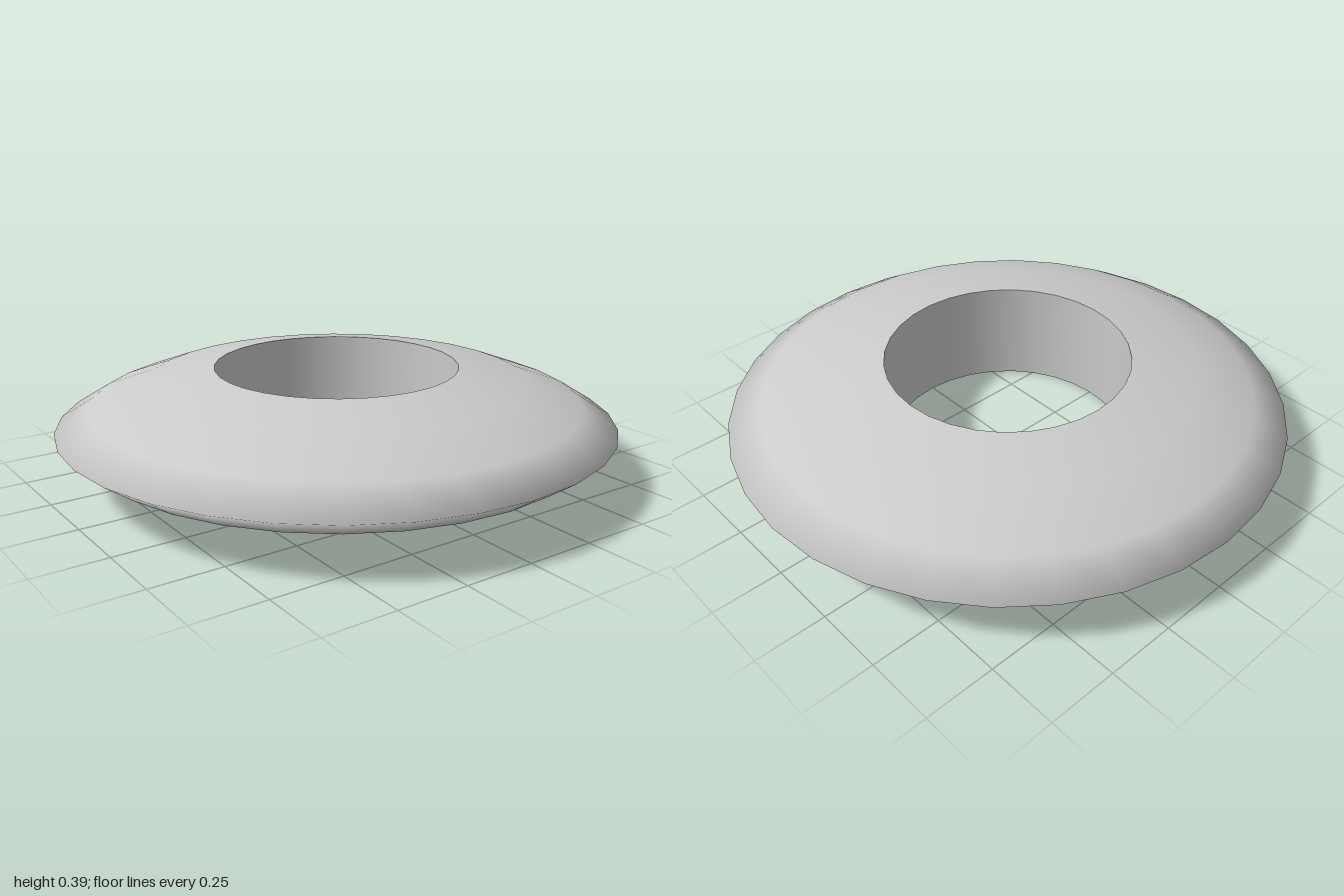
import * as THREE from 'three';

const SIDES = 32;

// Spins a profile of [radius, height] pairs around the y axis.
function turned(name, profile, material) {
  const points = profile.map(([r, y]) => new THREE.Vector2(r, y));
  const mesh = new THREE.Mesh(new THREE.LatheGeometry(points, SIDES), material);
  mesh.name = name;
  return mesh;
}

export function createModel() {
  const material = new THREE.MeshStandardMaterial({ color: 0xcccccc });
  const group = new THREE.Group();
  group.name = 'ring';

  const bottom = [0.445, 0];
  const top = [0.438, 0.393];

  // Smooth lens-shaped outside, from the lower hole edge over the rim to the upper one
  group.add(turned('outerShell', [
    bottom, [0.71, 0.052], [0.905, 0.132], [1, 0.2],
    [0.876, 0.276], [0.677, 0.35], top,
  ], material));

  // Wall of the hole, facing the axis, with sharp edges against the shell
  group.add(turned('holeWall', [top, bottom], material));

  return group;
}
